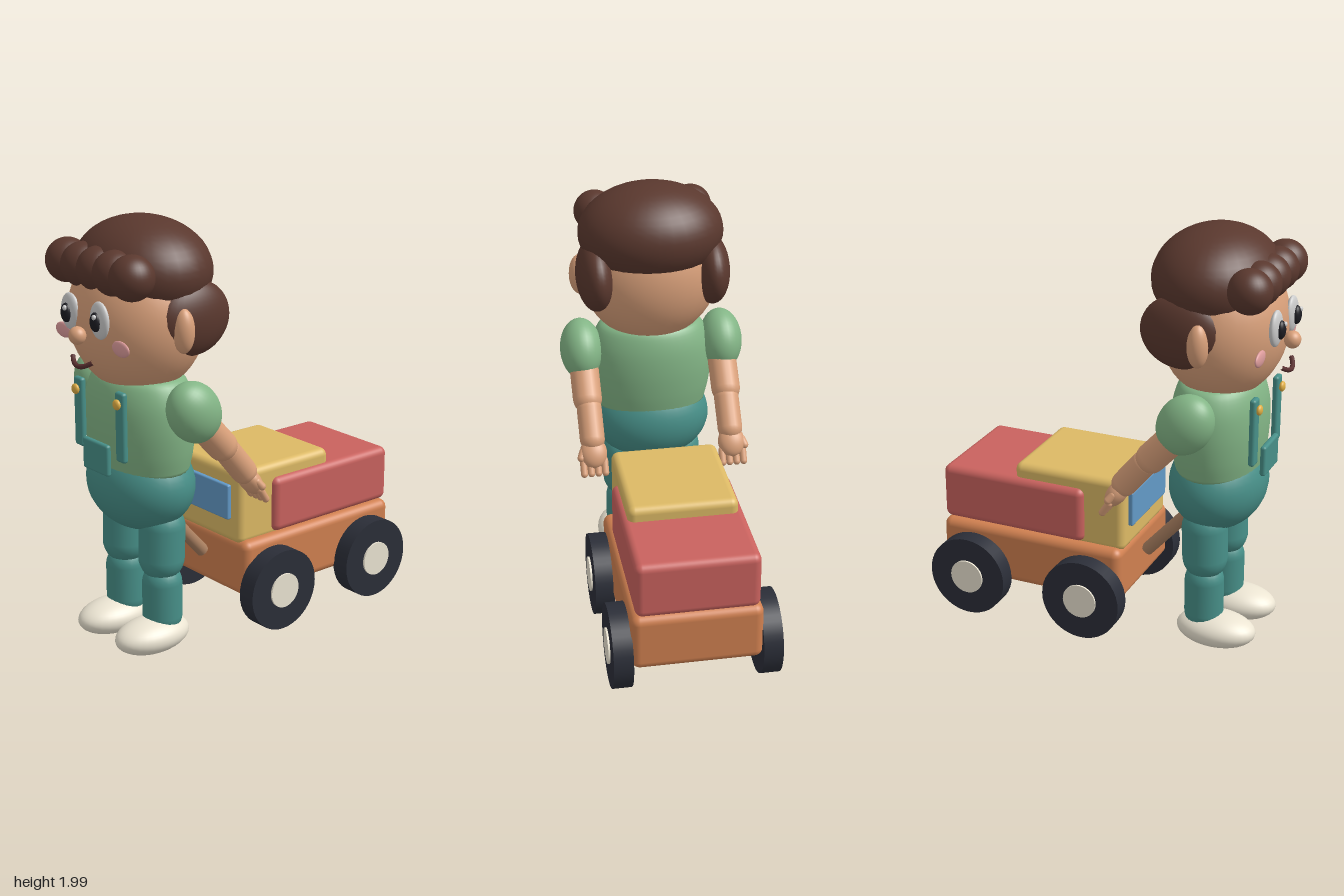
import * as THREE from 'three';
import { RoundedBoxGeometry } from 'three/addons/geometries/RoundedBoxGeometry.js';

const mat = (color) => new THREE.MeshStandardMaterial({ color });
const SKIN = mat(0xd9a07a), HAIR = mat(0x5a382e), SHIRT = mat(0x83b586), DENIM = mat(0x478f88),
  CREAM = mat(0xebe4d2), WHITE = mat(0xf5f5f5), BLACK = mat(0x1c1c22), PINK = mat(0xdd9c9c),
  LIP = mat(0x5a3030), GOLD = mat(0xdfae45), TYRE = mat(0x2b2e38), ORANGE = mat(0xd08050),
  YELLOW = mat(0xdcb965), RED = mat(0xc9625e), BLUE = mat(0x6299c6), WOOD = mat(0xa97f60);

export function createModel() {
  const model = new THREE.Group();

  const add = (parent, name, geometry, material, x = 0, y = 0, z = 0) => {
    const mesh = new THREE.Mesh(geometry, material);
    mesh.name = name;
    mesh.position.set(x, y, z);
    parent.add(mesh);
    return mesh;
  };
  const ball = (parent, name, material, [x, y, z], [rx, ry, rz]) => {
    const mesh = add(parent, name, new THREE.SphereGeometry(1, 32, 24), material, x, y, z);
    mesh.scale.set(rx, ry, rz);
    return mesh;
  };
  const box = (parent, name, material, [x, y, z], [w, h, d], r) =>
    add(parent, name, new RoundedBoxGeometry(w, h, d, 4, r), material, x, y, z);
  // Capsule (or plain rod) running between two points
  const limb = (parent, name, material, a, b, r, rod = false) => {
    const p = new THREE.Vector3(...a), q = new THREE.Vector3(...b), len = p.distanceTo(q);
    const geometry = rod ? new THREE.CylinderGeometry(r, r, len, 20) : new THREE.CapsuleGeometry(r, len, 8, 20);
    const mesh = add(parent, name, geometry, material);
    mesh.position.copy(p).add(q).multiplyScalar(0.5);
    mesh.quaternion.setFromUnitVectors(new THREE.Vector3(0, 1, 0), q.sub(p).normalize());
    return mesh;
  };
  const group = (name) => {
    const g = new THREE.Group();
    g.name = name;
    model.add(g);
    return g;
  };
  const sides = [['left', 1], ['right', -1]];

  // Head and hair
  const head = group('head');
  ball(head, 'face', SKIN, [0, 1.56, 0.49], [0.335, 0.345, 0.29]);
  ball(head, 'hairCap', HAIR, [0, 1.77, 0.455], [0.345, 0.23, 0.285]);
  for (let i = -2; i <= 2; i++)
    ball(head, 'fringeCurl', HAIR, [i * 0.117, 1.795, 0.688], [0.1, 0.1, 0.1]);
  ball(head, 'nose', SKIN, [0, 1.52, 0.81], [0.04, 0.04, 0.038]);
  for (const [side, s] of sides) {
    ball(head, side + 'SideHair', HAIR, [s * 0.275, 1.585, 0.4], [0.09, 0.168, 0.195]);
    ball(head, side + 'Ear', SKIN, [s * 0.335, 1.555, 0.495], [0.052, 0.1, 0.048]);
    ball(head, side + 'Eye', WHITE, [s * 0.108, 1.6, 0.768], [0.063, 0.083, 0.024]);
    ball(head, side + 'Pupil', BLACK, [s * 0.108, 1.597, 0.79], [0.03, 0.043, 0.022]);
    ball(head, side + 'EyeGlint', WHITE, [s * 0.108 + 0.01, 1.622, 0.805], [0.011, 0.012, 0.01]);
    ball(head, side + 'Cheek', PINK, [s * 0.21, 1.49, 0.735], [0.06, 0.035, 0.013]);
  }
  const smile = new THREE.QuadraticBezierCurve3(
    new THREE.Vector3(-0.073, 1.41, 0.785), new THREE.Vector3(0, 1.355, 0.835), new THREE.Vector3(0.073, 1.41, 0.785));
  add(head, 'mouth', new THREE.TubeGeometry(smile, 20, 0.011, 8), LIP);

  // Torso, flattened from front to back
  const body = group('body');
  const outline = new THREE.SplineCurve([[0.266, 0.875], [0.288, 0.97], [0.299, 1.09], [0.288, 1.2], [0.25, 1.285], [0.2, 1.31]]
    .map(([x, y]) => new THREE.Vector2(x, y))).getPoints(24);
  const profile = [new THREE.Vector2(0, 0.875), ...outline, new THREE.Vector2(0, 1.31)];
  add(body, 'shirt', new THREE.LatheGeometry(profile, 40), SHIRT, 0, 0, 0.485).scale.z = 0.72;
  ball(body, 'trousers', DENIM, [0, 0.79, 0.485], [0.288, 0.225, 0.223]);
  box(body, 'bibPocket', DENIM, [0, 0.952, 0.722], [0.185, 0.145, 0.028], 0.012);
  for (const [side, s] of sides) {
    box(body, side + 'Strap', DENIM, [s * 0.154, 1.12, 0.698], [0.062, 0.32, 0.03], 0.013);
    ball(body, side + 'Button', GOLD, [s * 0.154, 1.228, 0.722], [0.024, 0.024, 0.014]);
  }

  // Legs and shoes
  for (const [side, s] of sides) {
    const leg = group(side + 'Leg');
    limb(leg, 'thigh', DENIM, [s * 0.137, 0.6, 0.47], [s * 0.137, 0.45, 0.475], 0.106);
    limb(leg, 'shin', DENIM, [s * 0.139, 0.33, 0.475], [s * 0.139, 0.17, 0.475], 0.092);
    ball(leg, 'shoe', CREAM, [s * 0.145, 0.09, 0.54], [0.122, 0.082, 0.192]);
  }

  // Arms reaching back towards the wagon
  for (const [side, s] of sides) {
    const arm = group(side + 'Arm');
    ball(arm, 'sleeve', SHIRT, [s * 0.343, 1.185, 0.447], [0.102, 0.15, 0.125]).rotation.x = 0.6;
    limb(arm, 'upperArm', SKIN, [s * 0.338, 1.12, 0.4], [s * 0.338, 0.995, 0.285], 0.07);
    limb(arm, 'forearm', SKIN, [s * 0.335, 0.96, 0.25], [s * 0.335, 0.845, 0.155], 0.06);
    ball(arm, 'hand', SKIN, [s * 0.335, 0.79, 0.118], [0.065, 0.075, 0.045]).rotation.x = 0.6;
    for (let i = 0; i < 4; i++) {
      const x = s * (0.285 + i * 0.034);
      limb(arm, 'finger', SKIN, [x, 0.755, 0.1], [x, 0.705, 0.068], 0.017);
    }
    limb(arm, 'thumb', SKIN, [s * 0.385, 0.8, 0.12], [s * 0.397, 0.775, 0.1], 0.018);
  }

  // Toy wagon: body, blocks, window and tow bar
  const wagon = group('wagon');
  box(wagon, 'chassis', ORANGE, [0, 0.325, -0.355], [0.6, 0.275, 0.93], 0.04);
  box(wagon, 'cabin', YELLOW, [0, 0.62, -0.168], [0.51, 0.36, 0.56], 0.035);
  box(wagon, 'cargoBlock', RED, [0, 0.598, -0.452], [0.565, 0.27, 0.735], 0.035);
  box(wagon, 'window', BLUE, [0, 0.645, 0.125], [0.4, 0.17, 0.025], 0.008);
  limb(wagon, 'towBar', WOOD, [0, 0.62, 0.37], [0, 0.345, 0.125], 0.031, true);

  // Wheels with hubs
  for (const [side, s] of sides) {
    for (const [end, z] of [['Front', -0.053], ['Rear', -0.65]]) {
      const wheel = group(side + end + 'Wheel');
      wheel.position.set(s * 0.34, 0.22, z);
      wheel.rotation.z = -s * Math.PI / 2;
      add(wheel, 'tyre', new THREE.CylinderGeometry(0.195, 0.195, 0.09, 40), TYRE);
      add(wheel, 'hub', new THREE.CylinderGeometry(0.083, 0.083, 0.1, 32), CREAM, 0, 0.004, 0);
    }
  }
  return model;
}
